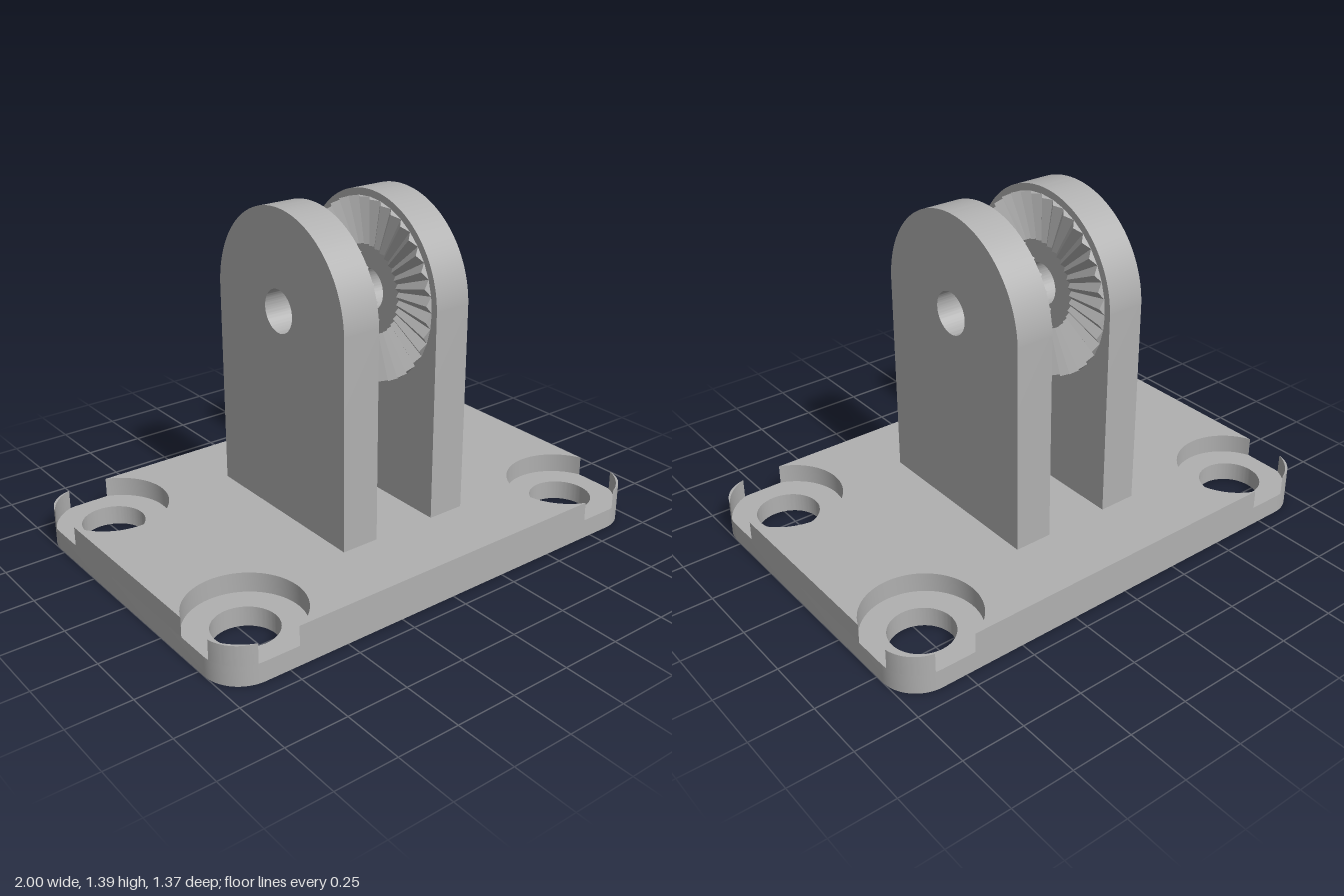
import * as THREE from 'three';
import { toCreasedNormals } from 'three/addons/utils/BufferGeometryUtils.js';

const W = 1, D = 0.684, CORNER = 0.15;            // base half sizes and corner radius
const HX = 0.79, HZ = 0.474, HOLE = 0.126, BORE = 0.225; // screw holes
const STEP = 0.08, TOP = 0.16;                    // counterbore floor and base top
const QUADRANTS = [[1, 1], [-1, 1], [-1, -1], [1, -1]];

const arc = (cx, cy, r, a0, a1, n = 24) => Array.from({ length: n + 1 }, (_, i) => {
  const a = a0 + (a1 - a0) * i / n;
  return new THREE.Vector2(cx + r * Math.cos(a), cy + r * Math.sin(a));
});

// Mirrors first-quadrant points, keeping the outline anticlockwise
const mirror = (pts, sx, sy) => {
  const out = pts.map(p => new THREE.Vector2(p.x * sx, p.y * sy));
  return sx * sy < 0 ? out.reverse() : out;
};

const extrude = (shape, depth) => toCreasedNormals(
  new THREE.ExtrudeGeometry(shape, { depth, bevelEnabled: false, curveSegments: 64 }), 0.5);

// Ring of radial V-teeth around the z axis, shrinking towards the centre
function teethGeometry(count, rIn, rOut, height) {
  const pos = [];
  const pt = (r, a, z) => [r * Math.cos(a), r * Math.sin(a), z];
  const step = Math.PI * 2 / count;
  for (let i = 0; i < count; i++) {
    const a = i * step, m = a + step / 2, b = a + step;
    const hIn = height * rIn / rOut;
    const ai = pt(rIn, a, 0), ao = pt(rOut, a, 0);
    const mi = pt(rIn, m, hIn), mo = pt(rOut, m, height);
    const bi = pt(rIn, b, 0), bo = pt(rOut, b, 0);
    for (const tri of [[ai, ao, mo], [ai, mo, mi], [mi, mo, bo], [mi, bo, bi], [ao, bo, mo], [ai, mi, bi]])
      pos.push(...tri.flat());
  }
  const g = new THREE.BufferGeometry();
  g.setAttribute('position', new THREE.Float32BufferAttribute(pos, 3));
  g.computeVertexNormals();
  return g;
}

export function createModel() {
  const model = new THREE.Group();
  const grey = new THREE.MeshStandardMaterial({ color: 0xb0b0b0 });
  grey.name = 'grey';
  const add = (parent, name, geometry) => {
    const mesh = new THREE.Mesh(geometry, grey);
    mesh.name = name;
    parent.add(mesh);
    return mesh;
  };
  const addSlab = (name, shape, y, h) => {
    add(model, name, extrude(shape, h).rotateX(-Math.PI / 2)).position.y = y;
  };

  // Lower half of the base: rounded plate with four screw holes
  const cx = W - CORNER, cz = D - CORNER;
  const roundCorner = arc(cx, cz, CORNER, 0, Math.PI / 2);
  const lower = new THREE.Shape(QUADRANTS.flatMap(([sx, sy]) => mirror(roundCorner, sx, sy)));
  for (const [sx, sy] of QUADRANTS)
    lower.holes.push(new THREE.Path().absarc(sx * HX, sy * HZ, HOLE, 0, Math.PI * 2, true));
  addSlab('basePlate', lower, 0, STEP);

  // Upper half: the counterbores break through the edges
  const edge = W - HX, half = Math.sqrt(BORE * BORE - edge * edge);
  const notch = arc(HX, HZ, BORE, Math.atan2(-half, edge), Math.atan2(edge, -half) - Math.PI * 2, 48);
  const upper = new THREE.Shape(QUADRANTS.flatMap(([sx, sy]) => mirror(notch, sx, sy)));
  addSlab('baseTop', upper, STEP, TOP - STEP);

  // Thin corner walls left outside each counterbore
  const off = cx - HX, d = off * Math.SQRT2;
  const along = (d * d + BORE * BORE - CORNER * CORNER) / (2 * d);
  const across = Math.sqrt(BORE * BORE - along * along);
  const tOut = Math.atan2(across, along - d), tIn = Math.atan2(across, along), q = Math.PI / 4;
  const sliver = [
    ...arc(cx, cz, CORNER, q - tOut, q + tOut),
    ...arc(HX, HZ, BORE, q + tIn, q - tIn).slice(1, -1),
  ];
  for (const [sx, sy] of QUADRANTS)
    addSlab('cornerWall', new THREE.Shape(mirror(sliver, sx, sy)), STEP, TOP - STEP);

  // Two upright lugs with toothed rosettes on their facing sides
  const R = 0.395, axisY = 1, thick = 0.157;
  const lug = new THREE.Shape();
  lug.moveTo(-R, TOP);
  lug.lineTo(R, TOP);
  lug.absarc(0, axisY, R, 0, Math.PI, false);
  lug.closePath();
  lug.holes.push(new THREE.Path().absarc(0, axisY, 0.086, 0, Math.PI * 2, true));
  const lugGeometry = extrude(lug, thick);
  const teeth = teethGeometry(36, 0.18, 0.367, 0.0265);
  for (const side of [1, -1]) {
    const group = new THREE.Group();
    group.name = side > 0 ? 'leftLug' : 'rightLug';
    add(group, 'lugPlate', lugGeometry);
    add(group, 'rosetteTeeth', teeth).position.set(0, axisY, thick);
    group.rotation.y = -side * Math.PI / 2;
    group.position.x = side * 0.294;
    model.add(group);
  }
  return model;
}
